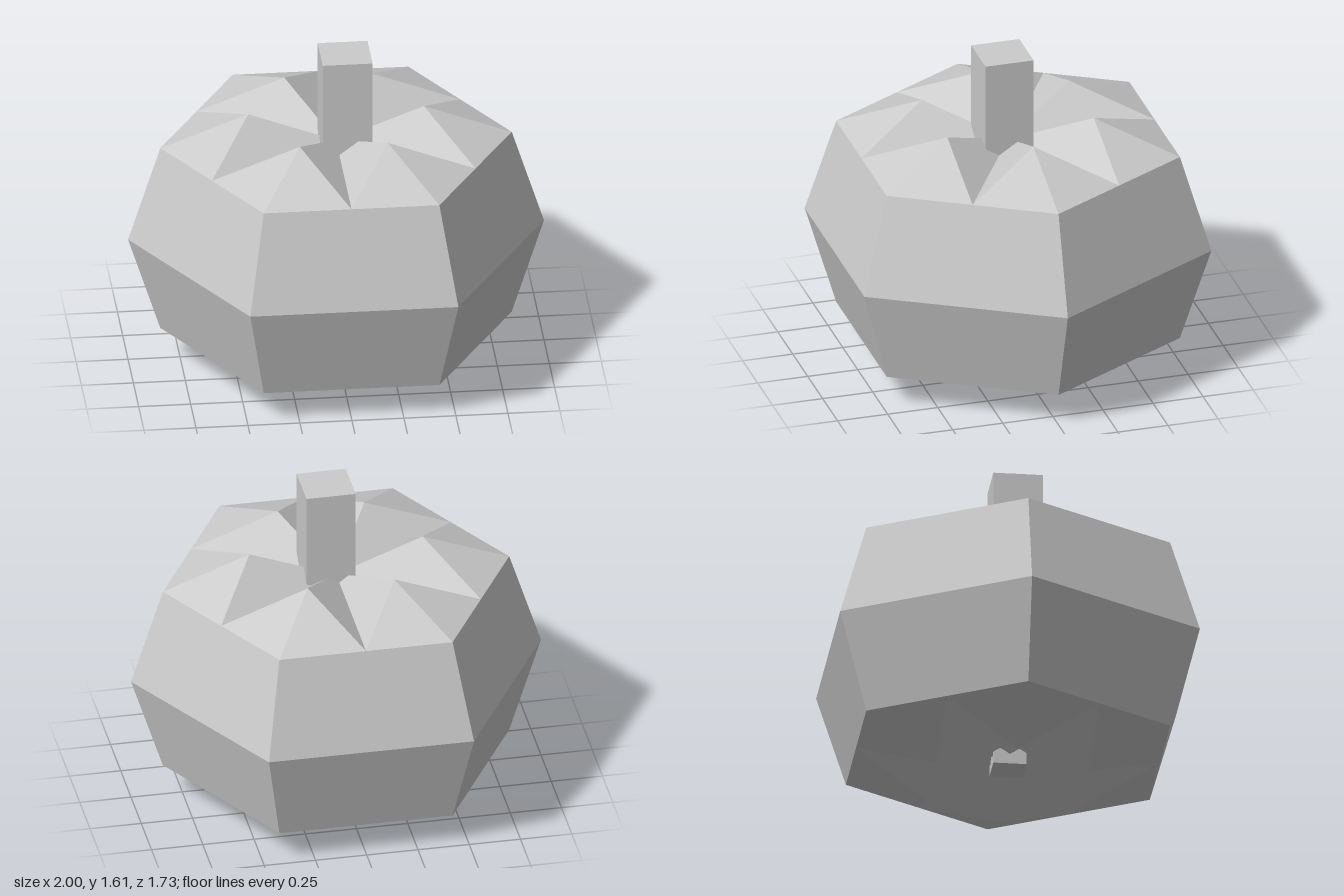
import * as THREE from 'three';

const MID = 0.643;                       // height of the widest ring
const RIM = { r: 0.845, h: 0.483 };      // hexagonal shoulder, above and below MID
const LOBE = { r: 0.4225, h: 0.643 };    // raised lobe peaks

const polar = (r, h, a) => new THREE.Vector3(r * Math.cos(a), h, r * Math.sin(a));

// One half of the gourd; side = 1 for the upper half, -1 for the mirrored lower half
function halfBody(side) {
  const points = [];
  const tri = (...corners) => {
    if (side < 0) corners.reverse();
    corners.forEach(p => points.push(p.x, MID + side * p.y, p.z));
  };
  const step = Math.PI / 3;
  const grooveR = RIM.r * Math.cos(step / 2);
  const centre = new THREE.Vector3(0, RIM.h, 0);
  for (let i = 0; i < 6; i++) {
    const a = i * step, b = a + step;
    // sloping side panel
    const lowA = polar(1, 0, a), lowB = polar(1, 0, b);
    const topA = polar(RIM.r, RIM.h, a), topB = polar(RIM.r, RIM.h, b);
    tri(lowB, lowA, topA);
    tri(lowB, topA, topB);
    // pointed lobe between two grooves
    const peak = polar(LOBE.r, LOBE.h, a);
    const next = polar(grooveR, RIM.h, a + step / 2);
    const prev = polar(grooveR, RIM.h, a - step / 2);
    tri(peak, next, topA);
    tri(topA, prev, peak);
    tri(centre, next, peak);
    tri(peak, prev, centre);
  }
  const geometry = new THREE.BufferGeometry();
  geometry.setAttribute('position', new THREE.Float32BufferAttribute(points, 3));
  geometry.computeVertexNormals();
  return geometry;
}

export function createModel() {
  const model = new THREE.Group();
  model.name = 'gourd';
  const material = new THREE.MeshStandardMaterial({ color: 0xcccccc, flatShading: true });
  const add = (name, geometry, x = 0, y = 0, z = 0) => {
    const mesh = new THREE.Mesh(geometry, material);
    mesh.name = name;
    mesh.position.set(x, y, z);
    model.add(mesh);
  };

  add('upperBody', halfBody(1));
  add('lowerBody', halfBody(-1));

  // Thick stem, slightly off centre, over a thinner core that pokes out below
  add('stem', new THREE.BoxGeometry(0.24, 0.56, 0.24), 0.04, 1.33, 0.04);
  add('stemCore', new THREE.BoxGeometry(0.16, 1.02, 0.16), 0, 0.59, 0);
  return model;
}
